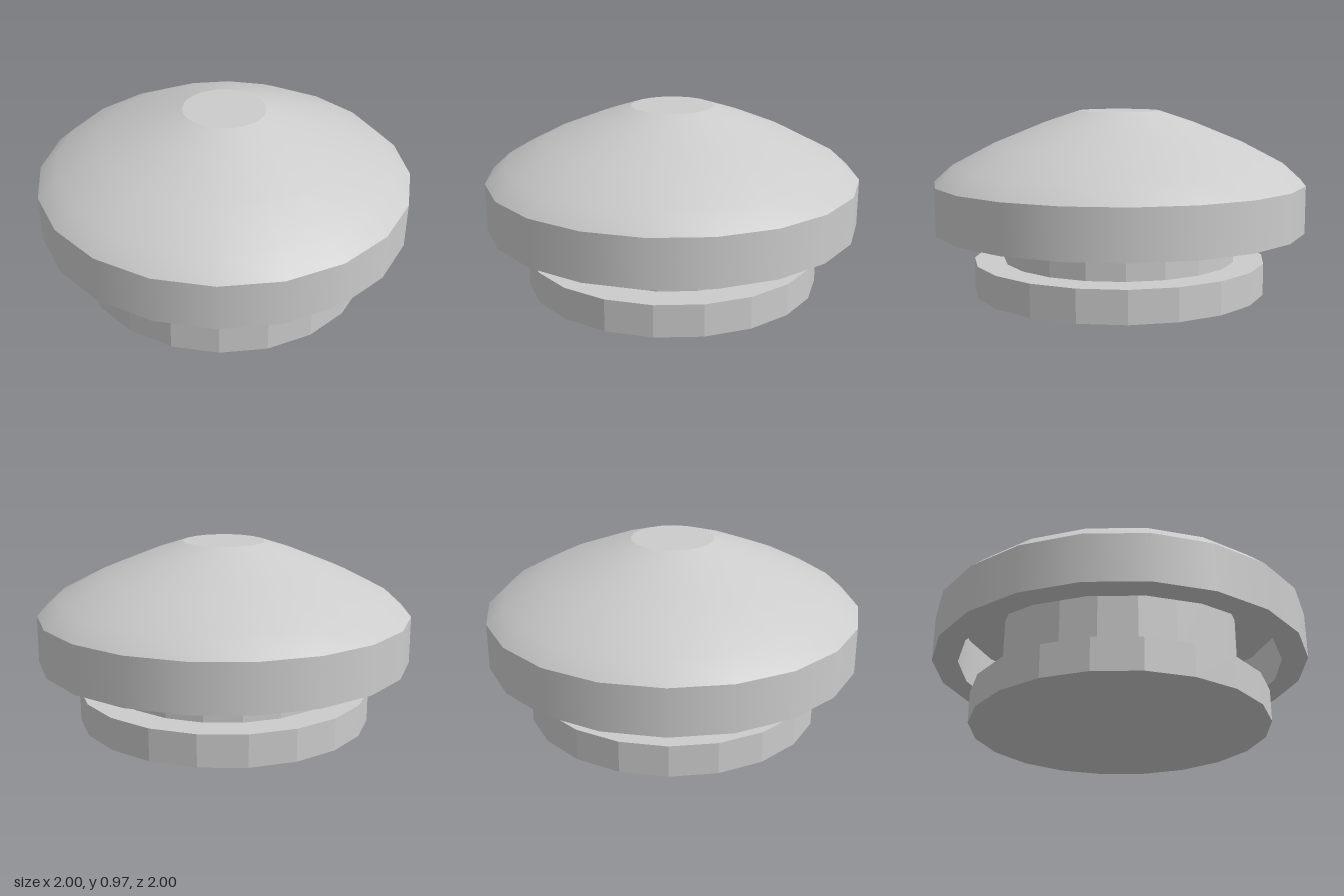
import * as THREE from 'three';

const SIDES = 20;
const smooth = new THREE.MeshStandardMaterial({ color: 0xcccccc });
const faceted = new THREE.MeshStandardMaterial({ color: 0xcccccc, flatShading: true });

// Smooth band turned around the y axis; creases fall between separate bands
function band(name, profile) {
  const points = profile.map(([r, y]) => new THREE.Vector2(r, y));
  const mesh = new THREE.Mesh(new THREE.LatheGeometry(points, SIDES), smooth);
  mesh.name = name;
  return mesh;
}

// Faceted solid disc between two heights
function disc(name, radius, bottom, top) {
  const mesh = new THREE.Mesh(new THREE.CylinderGeometry(radius, radius, top - bottom, SIDES), faceted);
  mesh.position.y = (bottom + top) / 2;
  mesh.name = name;
  return mesh;
}

export function createModel() {
  const model = new THREE.Group();
  model.name = 'domedButton';

  // Foot and neck
  model.add(disc('base', 0.79, 0, 0.17));
  model.add(disc('neck', 0.63, 0.17, 0.59));

  // Domed cap with a hollow underside
  const cap = new THREE.Group();
  cap.name = 'cap';
  cap.add(
    band('capTop', [[0.22, 0.97], [0, 0.97]]),
    band('capDome', [[1, 0.59], [0.9, 0.68], [0.67, 0.8], [0.4, 0.91], [0.22, 0.97]]),
    band('capSide', [[1, 0.34], [1, 0.59]]),
    band('capRim', [[0.865, 0.34], [1, 0.34]]),
    band('capInnerWall', [[0.865, 0.59], [0.865, 0.34]]),
    band('capCeiling', [[0.6, 0.59], [0.865, 0.59]])
  );
  model.add(cap);
  return model;
}
